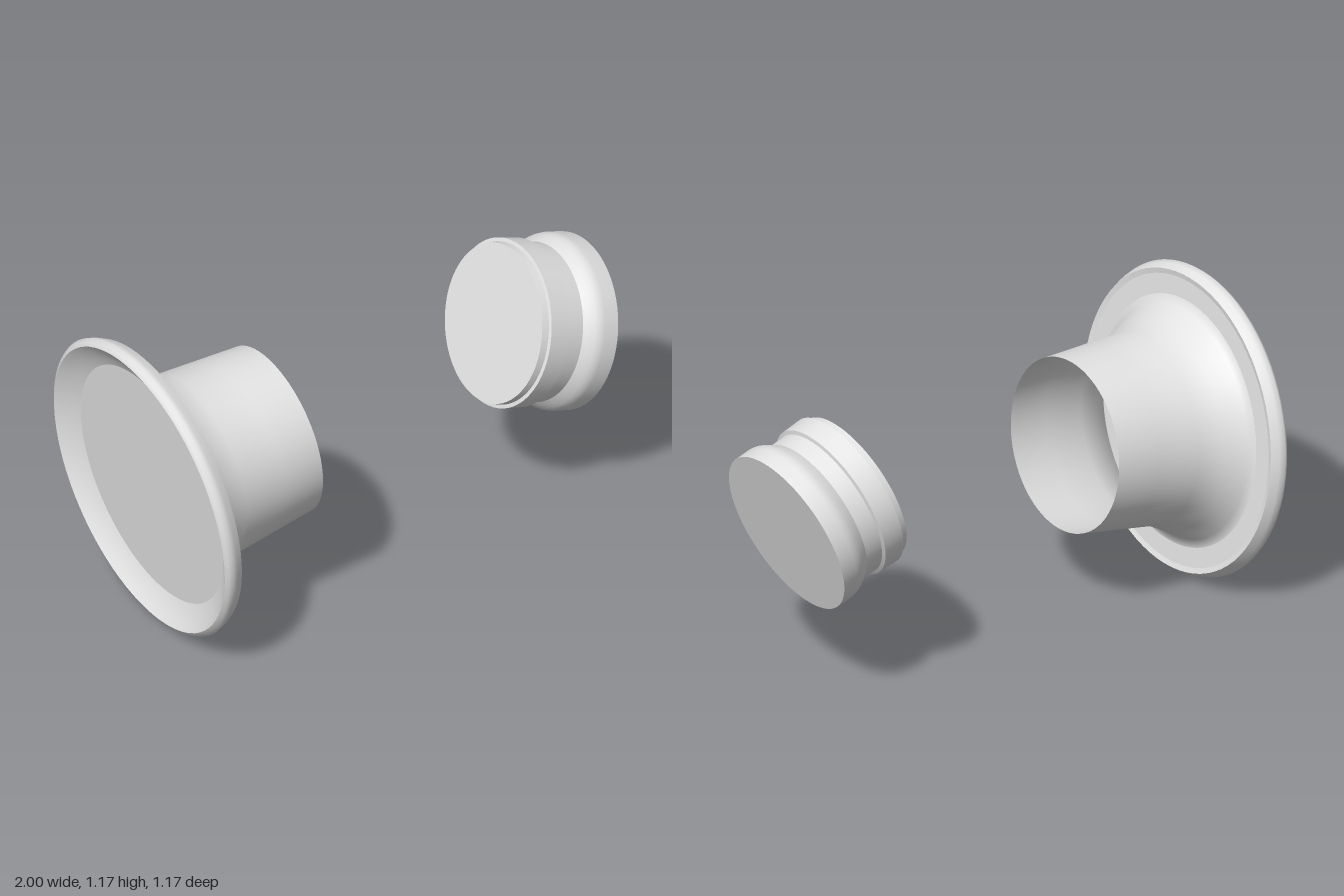
import * as THREE from 'three';

const SEGMENTS = 80;

export function createModel() {
  const grey = new THREE.MeshStandardMaterial({ color: 0xe3e3e3, side: THREE.DoubleSide });
  grey.name = 'light grey';

  // Each run of [radius, height] is smooth; edges between runs stay sharp.
  const turned = (name, runs) => {
    const part = new THREE.Group();
    part.name = name;
    for (const [runName, points] of Object.entries(runs)) {
      const profile = points.map(([r, h]) => new THREE.Vector2(r, h));
      const mesh = new THREE.Mesh(new THREE.LatheGeometry(profile, SEGMENTS), grey);
      mesh.name = runName;
      part.add(mesh);
    }
    return part;
  };

  // Flanged funnel: dished back, flat front ring, flared neck and an open tube
  const funnel = turned('flangedFunnel', {
    backDisc: [[0, 0.055], [0.47, 0.055]],
    backLip: [[0.47, 0.055], [0.5, 0.042], [0.535, 0.021], [0.563, 0]],
    rimEdge: [[0.563, 0], [0.578, 0.009], [0.587, 0.024], [0.58, 0.045], [0.565, 0.073]],
    rimFront: [[0.565, 0.073], [0.545, 0.068]],
    frontRing: [[0.545, 0.068], [0.47, 0.068]],
    neckAndTube: [[0.47, 0.068], [0.437, 0.08], [0.395, 0.16], [0.357, 0.242], [0.342, 0.41], [0.327, 0.583]],
  });
  funnel.position.set(-0.9425, 0.587, 0);
  funnel.rotation.z = THREE.MathUtils.degToRad(5.8 - 90);

  // Closed stopper: stepped band, straight waist and a wider head
  const stopper = turned('stopper', {
    smallEnd: [[0, 0], [0.294, 0]],
    smallCollar: [[0.294, 0], [0.297, 0.028]],
    bandStep: [[0.297, 0.028], [0.311, 0.03]],
    band: [[0.311, 0.03], [0.308, 0.112]],
    waistStep: [[0.308, 0.112], [0.294, 0.117]],
    waist: [[0.294, 0.117], [0.292, 0.187]],
    head: [[0.292, 0.187], [0.304, 0.205], [0.316, 0.225], [0.323, 0.242], [0.326, 0.262], [0.325, 0.322]],
    largeEnd: [[0.325, 0.322], [0, 0.322]],
  });
  stopper.position.set(0.59, 0.7645, 0);
  stopper.rotation.z = THREE.MathUtils.degToRad(-17.8 - 90);

  const model = new THREE.Group();
  model.name = 'funnelAndStopper';
  model.add(funnel, stopper);
  return model;
}
